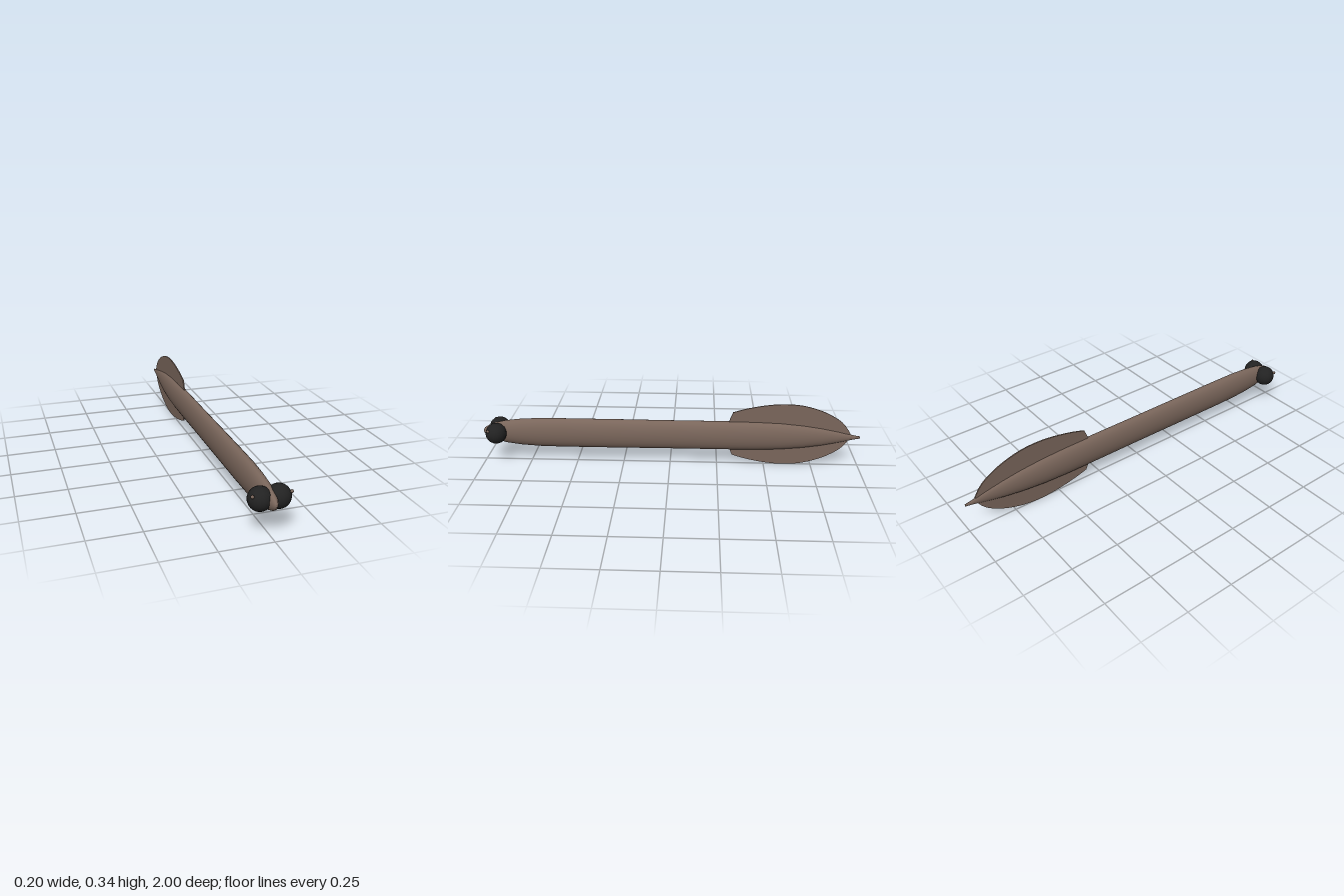
import * as THREE from 'three';

// Body stations: z, bottom y, top y, half width
const STATIONS = [
  [1.0, 0.16, 0.17, 0.003], [0.992, 0.146, 0.184, 0.011], [0.97, 0.13, 0.198, 0.02],
  [0.93, 0.114, 0.214, 0.027], [0.88, 0.1, 0.226, 0.032], [0.8, 0.089, 0.236, 0.036],
  [0.7, 0.082, 0.242, 0.038], [0.58, 0.08, 0.243, 0.038], [0.3, 0.08, 0.243, 0.037],
  [0, 0.081, 0.242, 0.036], [-0.3, 0.081, 0.242, 0.036], [-0.45, 0.082, 0.241, 0.036],
  [-0.58, 0.087, 0.236, 0.034], [-0.7, 0.098, 0.225, 0.028], [-0.8, 0.113, 0.21, 0.021],
  [-0.88, 0.13, 0.194, 0.014], [-0.94, 0.144, 0.18, 0.009], [-0.97, 0.151, 0.173, 0.007],
  [-1.0, 0.156, 0.168, 0.004],
];

// Lofts elliptical cross-sections along z and closes both tips
function bodyGeometry(sides = 24) {
  const pos = [], index = [];
  for (const [z, lo, hi, w] of STATIONS) {
    for (let j = 0; j < sides; j++) {
      const a = (j / sides) * Math.PI * 2;
      pos.push(w * Math.cos(a), (lo + hi) / 2 + ((hi - lo) / 2) * Math.sin(a), z);
    }
  }
  const last = STATIONS.length - 1;
  for (let i = 0; i < last; i++) {
    for (let j = 0; j < sides; j++) {
      const k = (j + 1) % sides;
      const a = i * sides + j, b = i * sides + k, c = a + sides, d = b + sides;
      index.push(a, c, b, b, c, d);
    }
  }
  for (let j = 1; j < sides - 1; j++) {
    index.push(0, j, j + 1);
    index.push(last * sides, last * sides + j + 1, last * sides + j);
  }
  const g = new THREE.BufferGeometry();
  g.setAttribute('position', new THREE.Float32BufferAttribute(pos, 3));
  g.setIndex(index);
  g.computeVertexNormals();
  return g;
}

// Thin fin; side is 1 for the upper fin and -1 for the lower one
function finGeometry(side) {
  const mid = 0.1715;
  const y = (h) => mid + side * h;
  const s = new THREE.Shape();
  s.moveTo(0.305, y(0.055));
  s.lineTo(0.31, y(0.07));
  s.lineTo(0.33, y(0.122));
  s.splineThru([
    [0.4, 0.143], [0.5, 0.163], [0.6, 0.1715], [0.7, 0.163],
    [0.8, 0.133], [0.88, 0.09], [0.92, 0.053], [0.95, 0.008],
  ].map(([x, h]) => new THREE.Vector2(x, y(h))));
  s.lineTo(0.8, y(0));
  s.lineTo(0.55, y(0.03));
  const depth = 0.006;
  const g = new THREE.ExtrudeGeometry(s, { depth, bevelEnabled: false, curveSegments: 32 });
  g.translate(0, 0, -depth / 2);
  g.rotateY(Math.PI / 2); // shape x runs towards the tail
  return g;
}

export function createModel() {
  const model = new THREE.Group();
  model.name = 'eel';
  const skin = new THREE.MeshStandardMaterial({ color: 0x7a665b });
  skin.name = 'brownSkin';
  const black = new THREE.MeshStandardMaterial({ color: 0x222222 });
  black.name = 'eyeBlack';

  const add = (name, geometry, material, x = 0, y = 0, z = 0) => {
    const m = new THREE.Mesh(geometry, material);
    m.name = name;
    m.position.set(x, y, z);
    model.add(m);
  };

  add('body', bodyGeometry(), skin);
  add('upperTailFin', finGeometry(1), skin);
  add('lowerTailFin', finGeometry(-1), skin);

  // Bulging eyes, each with a small bead on its outer front
  const eye = new THREE.SphereGeometry(0.055, 16, 12);
  const bead = new THREE.SphereGeometry(0.008, 10, 8);
  for (const [side, s] of [['left', 1], ['right', -1]]) {
    add(side + 'Eye', eye, black, s * 0.043, 0.17, 0.922);
    add(side + 'EyeBead', bead, skin, s * 0.088, 0.199, 0.952);
  }
  return model;
}
